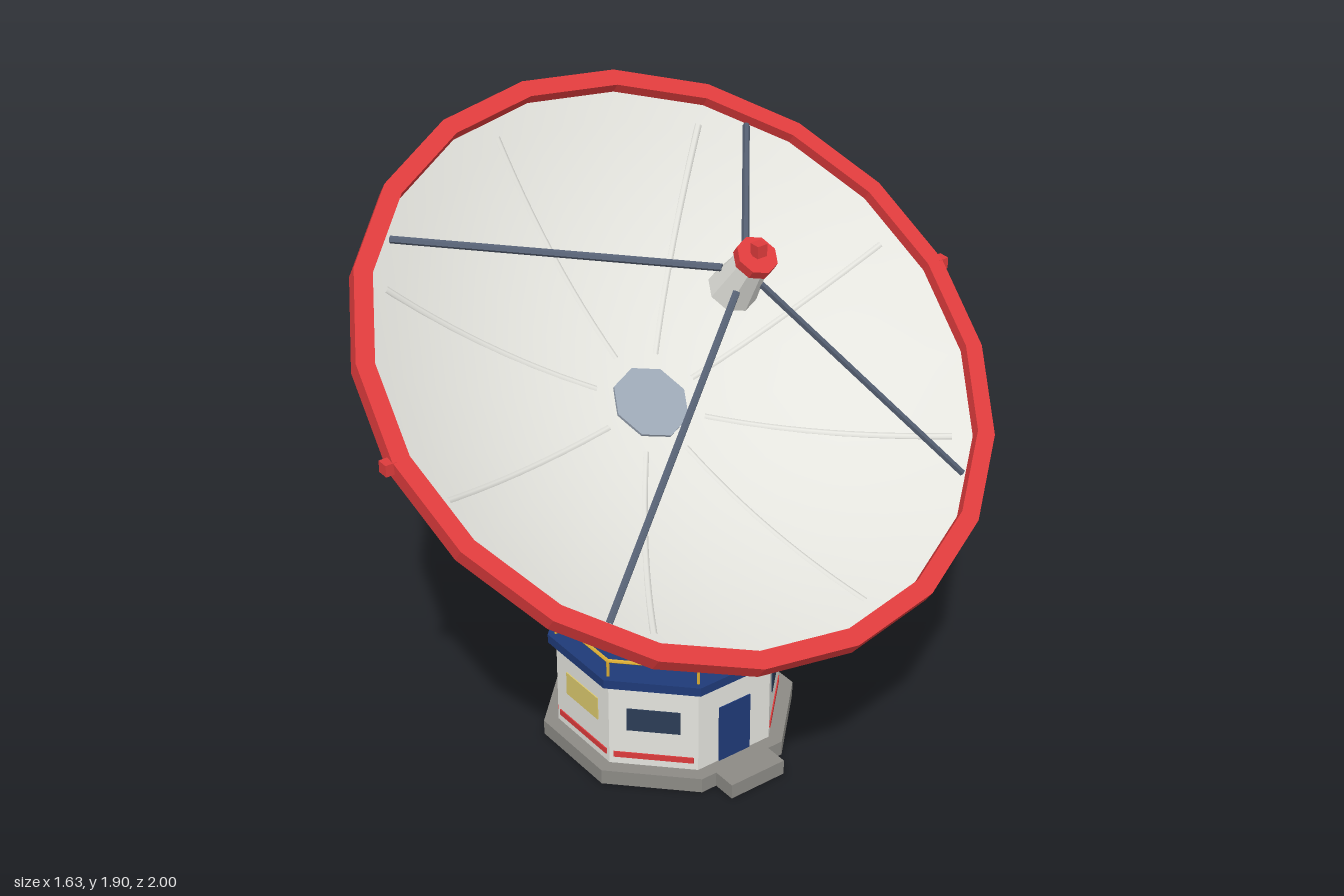
import * as THREE from 'three';

const mat = (name, color) => {
  const m = new THREE.MeshStandardMaterial({ color });
  m.name = name;
  return m;
};

export function createModel() {
  const white = mat('white paint', 0xe4e4de), red = mat('red paint', 0xdd3b3c);
  const navy = mat('navy paint', 0x1f3a78), glass = mat('dark glass', 0x2b3c56);
  const lamp = mat('lit window', 0xdcc96e), gold = mat('gold rail', 0xdcae35);
  const concrete = mat('concrete', 0x8c8a85), steel = mat('grey steel', 0x9ca7b5);
  const slate = mat('slate strut', 0x586376), shell = mat('dish back grey', 0x8b9195);

  const model = new THREE.Group();
  const V = (x, y, z) => new THREE.Vector3(x, y, z);
  const flat = (g) => {
    const f = g.index ? g.toNonIndexed() : g;
    f.computeVertexNormals();
    return f;
  };
  const add = (parent, name, geo, material, x = 0, y = 0, z = 0) => {
    const m = new THREE.Mesh(geo, material);
    m.name = name;
    m.position.set(x, y, z);
    parent.add(m);
    return m;
  };
  const box = (parent, name, w, h, d, material, x, y, z) =>
    add(parent, name, new THREE.BoxGeometry(w, h, d), material, x, y, z);
  // straight round bar between two points
  const beam = (parent, name, a, b, r, material, sides = 6) => {
    const g = flat(new THREE.CylinderGeometry(r, r, a.distanceTo(b), sides));
    const m = add(parent, name, g, material);
    m.position.copy(a).add(b).multiplyScalar(0.5);
    m.quaternion.setFromUnitVectors(V(0, 1, 0), b.clone().sub(a).normalize());
  };

  // ---- Octagonal building ----
  const base = new THREE.Group();
  base.name = 'building';
  base.position.x = -0.063;
  model.add(base);
  const octagon = (name, apothem, y0, y1, material) => {
    const r = apothem / Math.cos(Math.PI / 8);
    const g = flat(new THREE.CylinderGeometry(r, r, y1 - y0, 8).rotateY(Math.PI / 8));
    add(base, name, g, material, 0, (y0 + y1) / 2, 0);
  };
  octagon('foundation', 0.371, 0, 0.05, concrete);
  octagon('walls', 0.328, 0.05, 0.345, white);
  octagon('roof', 0.352, 0.345, 0.375, navy);
  box(base, 'doorStep', 0.12, 0.05, 0.2, concrete, 0.388, 0.025, 0);

  // windows, stripes and door, one face at a time
  for (let i = 0; i < 8; i++) {
    const face = new THREE.Group();
    face.name = 'wallFace';
    face.rotation.y = i * Math.PI / 4;
    base.add(face);
    if (i === 2) {
      box(face, 'door', 0.118, 0.2, 0.005, navy, 0, 0.15, 0.329);
    } else {
      box(face, 'window', 0.163, 0.08, 0.005, i % 2 ? glass : lamp, 0, 0.22, 0.329);
      box(face, 'stripe', 0.245, 0.02, 0.005, red, 0, 0.085, 0.329);
    }
  }

  // railing
  const corner = (i, y) => {
    const a = (i + 0.5) * Math.PI / 4, r = 0.328 / Math.cos(Math.PI / 8);
    return V(r * Math.sin(a), y, r * Math.cos(a));
  };
  for (let i = 0; i < 8; i++) {
    beam(base, 'railPost', corner(i, 0.37), corner(i, 0.432), 0.005, gold);
    beam(base, 'handRail', corner(i, 0.43), corner(i + 1, 0.43), 0.006, gold);
  }

  // ---- Tapered tower ----
  const ring = (name, r0, r1, y0, y1, material) =>
    add(base, name, new THREE.CylinderGeometry(r1, r0, y1 - y0, 24), material, 0, (y0 + y1) / 2, 0);
  ring('towerLower', 0.217, 0.203, 0.37, 0.505, white);
  ring('towerBand', 0.206, 0.193, 0.505, 0.59, red);
  ring('towerUpper', 0.19, 0.172, 0.59, 0.705, white);
  ring('towerCap', 0.172, 0.142, 0.705, 0.738, steel);
  for (const s of [-1, 1]) box(base, 'ladderRail', 0.03, 0.135, 0.016, slate, 0.199, 0.442, s * 0.019);

  // ---- Yoke ----
  const armShape = new THREE.Shape([
    [-0.22, 0.735], [0.03, 0.735], [-0.185, 0.97], [-0.25, 0.995], [-0.31, 0.97], [-0.33, 0.92],
  ].map(([x, y]) => new THREE.Vector2(x, y)));
  const armGeo = new THREE.ExtrudeGeometry(armShape, { depth: 0.09, bevelEnabled: false });
  for (const s of [-1, 1]) {
    add(model, 'yokeArm', armGeo, steel, 0, 0, s * 0.245 - 0.045);
    const disc = flat(new THREE.CylinderGeometry(0.07, 0.07, 0.05, 12).rotateX(Math.PI / 2));
    add(model, 'pivotCap', disc, red, -0.267, 0.935, s * 0.312);
  }
  beam(model, 'pivotAxle', V(-0.267, 0.935, -0.3), V(-0.267, 0.935, 0.3), 0.032, slate, 10);

  // ---- Dish, tilted toward +x ----
  const dish = new THREE.Group();
  dish.name = 'dish';
  dish.position.set(0.003, 1.315, 0);
  dish.rotation.z = -35 * Math.PI / 180;
  model.add(dish);
  const SEG = 20;
  const frontY = (r) => -0.276 * (1 - (r / 0.94) ** 2);
  const backY = (r) => -0.02 - 0.325 * (1 - (r / 0.955) ** 2);
  const backPts = [], frontPts = [];
  for (let i = 0; i <= 10; i++) {
    const rb = 0.955 * i / 10, rf = 0.94 * (1 - i / 10);
    backPts.push(new THREE.Vector2(rb, backY(rb)));
    frontPts.push(new THREE.Vector2(rf, frontY(rf)));
  }
  add(dish, 'dishBack', new THREE.LatheGeometry(backPts, SEG), shell);
  add(dish, 'dishFront', new THREE.LatheGeometry(frontPts, SEG), white);
  const rimPts = [[0.922, -0.026], [0.977, -0.026], [0.977, 0.026], [0.922, 0.026], [0.922, -0.026]]
    .map(([x, y]) => new THREE.Vector2(x, y));
  add(dish, 'rim', flat(new THREE.LatheGeometry(rimPts, SEG)), red);
  add(dish, 'centreHub', flat(new THREE.CylinderGeometry(0.12, 0.12, 0.012, 8)), steel, 0, -0.268, 0);
  add(dish, 'rearHub', flat(new THREE.CylinderGeometry(0.135, 0.135, 0.16, 8).rotateY(Math.PI / 8)),
    steel, 0, -0.385, 0);

  // shallow ribs following the bowl
  for (let i = 0; i < 8; i++) {
    const a = (i * 45 - 9) * Math.PI / 180, pts = [];
    for (let k = 0; k <= 8; k++) {
      const r = 0.17 + 0.7 * k / 8;
      pts.push(V(r * Math.cos(a), frontY(r / 0.988) - 0.008, r * Math.sin(a)));
    }
    const curve = new THREE.CatmullRomCurve3(pts);
    add(dish, 'rib', new THREE.TubeGeometry(curve, 12, 0.012, 8), white);
  }

  // feed struts in front, brace struts behind
  for (const sx of [-1, 1]) for (const sz of [-1, 1]) {
    beam(dish, 'feedStrut', V(sx * 0.04, 0.465, sz * 0.04), V(sx * 0.633, 0, sz * 0.633), 0.011, slate);
    beam(dish, 'braceStrut', V(sx * 0.075, -0.395, sz * 0.075), V(sx * 0.437, -0.215, sz * 0.42), 0.02, slate);
  }

  // feed horn
  add(dish, 'feedHorn', flat(new THREE.CylinderGeometry(0.046, 0.072, 0.16, 8)), white, 0.003, 0.475, 0);
  add(dish, 'feedCap', flat(new THREE.CylinderGeometry(0.06, 0.06, 0.03, 8)), red, 0.005, 0.565, 0);

  // beacons
  box(model, 'feedBeacon', 0.032, 0.036, 0.032, red, 0.345, 1.806, 0);
  for (const s of [-1, 1]) box(model, 'rimBeacon', 0.036, 0.036, 0.036, red, 0.003, 1.317, s * 0.982);

  return model;
}
